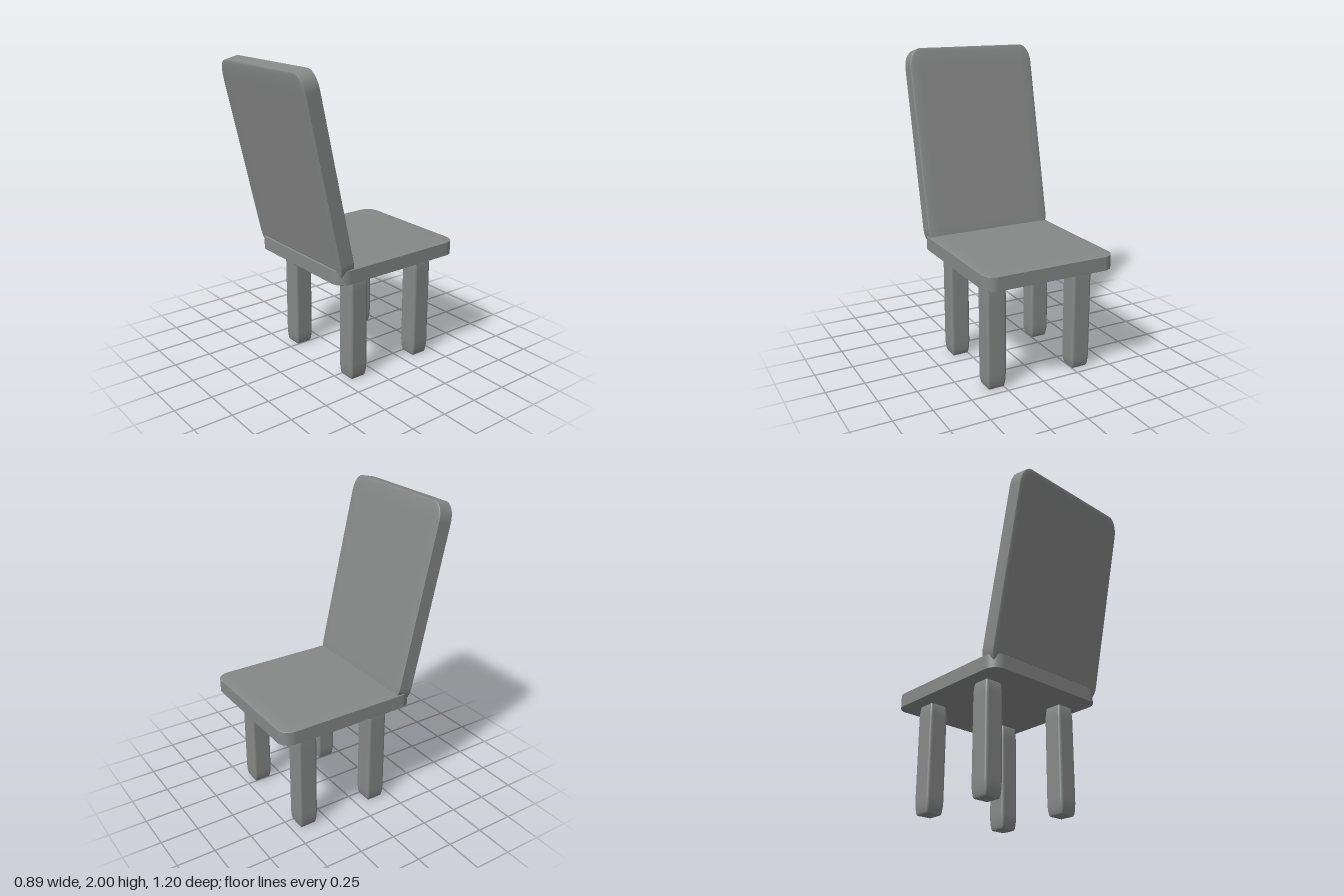
import * as THREE from 'three';
import { RoundedBoxGeometry } from 'three/addons/geometries/RoundedBoxGeometry.js';

const material = new THREE.MeshStandardMaterial({ color: 0x868887 });

// Rounded unit cube stretched to size, so the corner radius scales with each axis
function roundedSlab(name, radius, width, height, depth, x, y, z) {
  const geometry = new RoundedBoxGeometry(1, 1, 1, 8, radius);
  geometry.scale(width, height, depth);
  const mesh = new THREE.Mesh(geometry, material);
  mesh.name = name;
  mesh.position.set(x, y, z);
  return mesh;
}

export function createModel() {
  const chair = new THREE.Group();
  chair.name = 'chair';

  // Seat
  chair.add(roundedSlab('seat', 0.09, 0.887, 0.105, 0.955, 0, 0.75, -0.125));

  // Backrest, leaning towards +z
  const backrest = roundedSlab('backrest', 0.09, 0.887, 1.295, 0.112, 0, 1.357, 0.412);
  backrest.rotation.x = 0.221;
  chair.add(backrest);

  // Four legs
  for (const [row, z] of [['rear', 0.138], ['front', -0.388]]) {
    for (const [side, x] of [['Left', 0.303], ['Right', -0.303]]) {
      chair.add(roundedSlab(row + side + 'Leg', 0.14, 0.131, 0.71, 0.131, x, 0.353, z));
    }
  }
  return chair;
}
